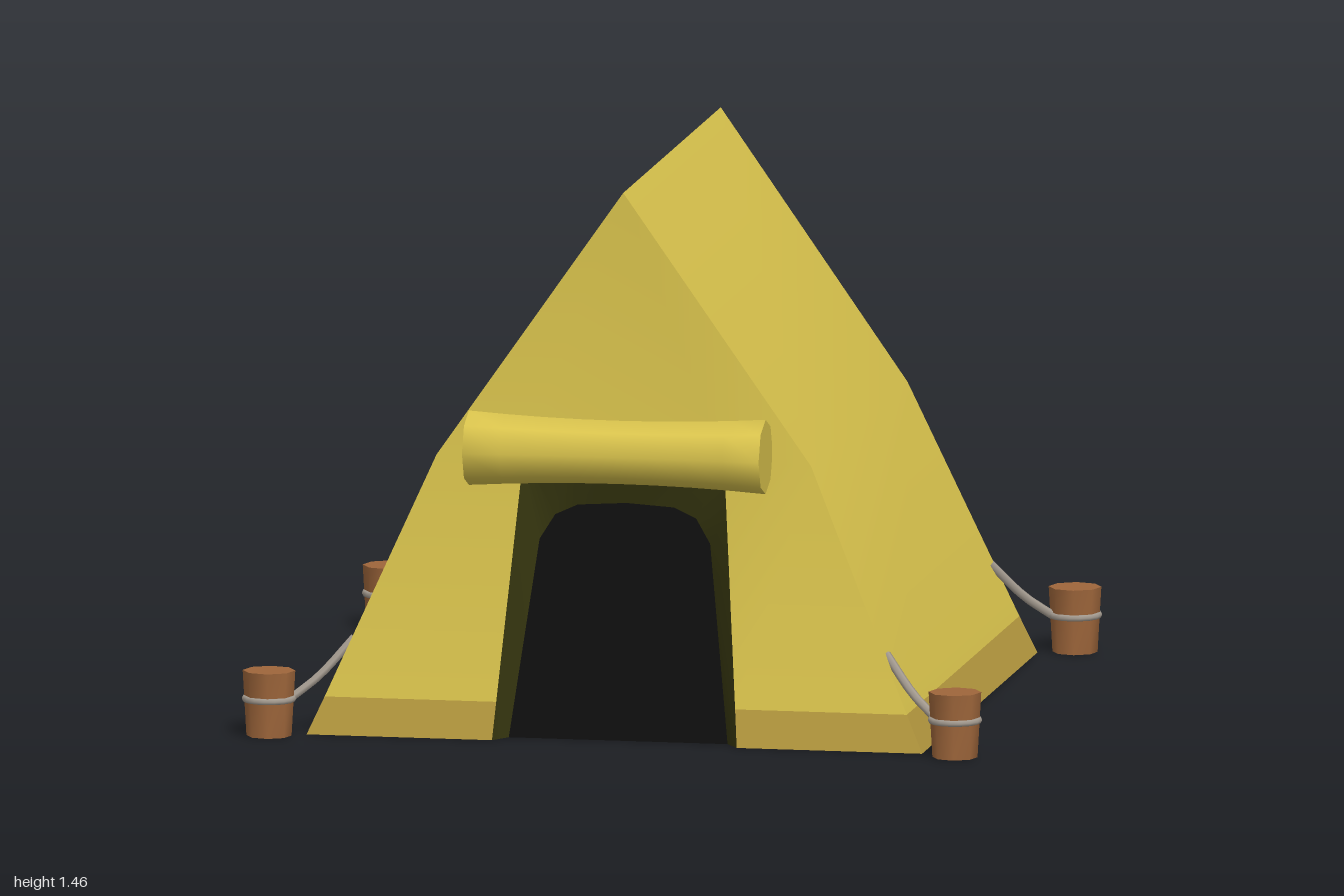
import * as THREE from 'three';
import { toCreasedNormals } from 'three/addons/utils/BufferGeometryUtils.js';

const flat = (name, color, side = THREE.FrontSide) => {
  const m = new THREE.MeshStandardMaterial({ color, side });
  m.name = name;
  return m;
};

// Tent profile: height, half width, half depth
const PROFILE = [[0, 0.83, 0.82], [0.1, 0.785, 0.8], [0.74, 0.505, 0.685], [1.46, 0, 0.693]];
const doorX = (y) => 0.33 - 0.08 * y;

function depthAt(y) {
  let i = 0;
  while (i < PROFILE.length - 2 && y > PROFILE[i + 1][0]) i++;
  const [a, b] = [PROFILE[i], PROFILE[i + 1]];
  return a[2] + (b[2] - a[2]) * (y - a[0]) / (b[0] - a[0]);
}

// Joins rows of points into one surface; several grids may share a geometry
function surface(grids, crease = 0.6) {
  const pos = [];
  const tri = (a, b, c) => {
    const p = [a, b, c].map((v) => new THREE.Vector3(...v));
    if (new THREE.Triangle(...p).getArea() > 1e-7) pos.push(...a, ...b, ...c);
  };
  for (const rows of grids)
    for (let r = 0; r < rows.length - 1; r++)
      for (let k = 0; k < rows[r].length - 1; k++) {
        const [a, b, c, d] = [rows[r][k], rows[r][k + 1], rows[r + 1][k + 1], rows[r + 1][k]];
        tri(a, b, c);
        tri(a, c, d);
      }
  const g = new THREE.BufferGeometry();
  g.setAttribute('position', new THREE.Float32BufferAttribute(pos, 3));
  return toCreasedNormals(g, crease);
}

// Walls between two profile levels, with a gap in the front for the door
function walls(from, to) {
  const levels = PROFILE.slice(from, to + 1);
  const right = levels.map(([y, x, z]) => [[-x, y, -z], [-x, y, z]]);
  const left = levels.map(([y, x, z]) => [[x, y, z], [x, y, -z]]);
  const back = levels.map(([y, x, z]) => [[x, y, -z], [-x, y, -z]]);
  const grids = [right, left, back];
  const low = levels.filter(([y]) => y < 0.75);
  grids.push(low.map(([y, x, z]) => [[-x, y, z], [-doorX(y), y, z]]));
  grids.push(low.map(([y, x, z]) => [[doorX(y), y, z], [x, y, z]]));
  if (to === 3) {
    const [[y, x, z], [topY, , topZ]] = [PROFILE[2], PROFILE[3]];
    const d = doorX(y);
    grids.push([
      [-x, -d, d, x].map((px) => [px, y, z]),
      [0, 0, 0, 0].map((px) => [px, topY, topZ]),
    ]);
  }
  return surface(grids);
}

export function createModel() {
  const group = new THREE.Group();
  group.name = 'tent';
  const canvas = flat('yellow canvas', 0xdac44d, THREE.DoubleSide);
  const hemMat = flat('dark yellow hem', 0xb99c40, THREE.DoubleSide);
  const lining = flat('dark olive lining', 0x35350f, THREE.DoubleSide);
  const dark = flat('black doorway', 0x0e0e0e, THREE.DoubleSide);
  const wood = flat('brown wood', 0x9e663b);
  const ropeMat = flat('grey rope', 0xa39a8f);

  const add = (name, geometry, material, parent = group) => {
    const mesh = new THREE.Mesh(geometry, material);
    mesh.name = name;
    parent.add(mesh);
    return mesh;
  };

  add('hem', walls(0, 1), hemMat);
  add('canvas', walls(1, 3), canvas);

  // Recessed doorway: sloping lining around an arched dark panel
  const inner = [[0.295, 0], [0.24, 0.44], [0.23, 0.52], [0.19, 0.585], [0.13, 0.612], [0, 0.62]];
  const outer = [[doorX(0), 0], [doorX(0.44), 0.44], [doorX(0.6), 0.6], [doorX(0.74), 0.74], [0.13, 0.74], [0, 0.74]];
  const mirror = (pts) => [...pts, ...pts.slice(0, -1).reverse().map(([x, y]) => [-x, y])];
  const place = (pts, inset) => mirror(pts).map(([x, y]) => [x, y, depthAt(y) - inset]);
  const inset = 0.055;
  add('doorLining', surface([[place(outer, 0), place(inner, inset)]]), lining);

  const arch = new THREE.Shape(mirror(inner).map(([x, y]) => new THREE.Vector2(x, y)));
  const panel = new THREE.ShapeGeometry(arch);
  const pp = panel.attributes.position;
  for (let i = 0; i < pp.count; i++) pp.setZ(i, depthAt(pp.getY(i)) - inset);
  panel.computeVertexNormals();
  add('doorway', panel, dark);

  // Rolled-up door flap, pinched in the middle
  const roll = new THREE.CylinderGeometry(0.1, 0.1, 0.8, 8, 8);
  const rp = roll.attributes.position;
  for (let i = 0; i < rp.count; i++) {
    const s = 0.85 + 0.15 * (rp.getY(i) / 0.4) ** 2;
    rp.setX(i, rp.getX(i) * s);
    rp.setZ(i, rp.getZ(i) * s);
  }
  const flap = add('rolledFlap', toCreasedNormals(roll, 0.9), canvas);
  flap.rotation.z = Math.PI / 2;
  flap.position.set(0, 0.777, 0.778);

  // Corner stakes, each with a rope loop and a guy line to the tent
  const stakeGeo = toCreasedNormals(new THREE.CylinderGeometry(0.07, 0.06, 0.175, 8), 0.9);
  const loopGeo = new THREE.TorusGeometry(0.064, 0.009, 6, 16).rotateX(Math.PI / 2);
  for (const sx of [1, -1]) {
    for (const sz of [1, -1]) {
      const corner = new THREE.Group();
      corner.name = `${sz > 0 ? 'front' : 'back'}${sx > 0 ? 'Left' : 'Right'}Anchor`;
      group.add(corner);
      const stake = add('stake', stakeGeo, wood, corner);
      stake.position.set(sx * 0.925, 0.0875, sz * 0.853);
      stake.rotation.y = 0.12;
      add('ropeLoop', loopGeo, ropeMat, corner).position.set(sx * 0.925, 0.1, sz * 0.853);
      const line = new THREE.CatmullRomCurve3([
        new THREE.Vector3(sx * 0.868, 0.1, sz * 0.832),
        new THREE.Vector3(sx * 0.8, 0.155, sz * 0.79),
        new THREE.Vector3(sx * 0.718, 0.25, sz * 0.735),
      ]);
      add('guyLine', new THREE.TubeGeometry(line, 6, 0.012, 6), ropeMat, corner);
    }
  }
  return group;
}
